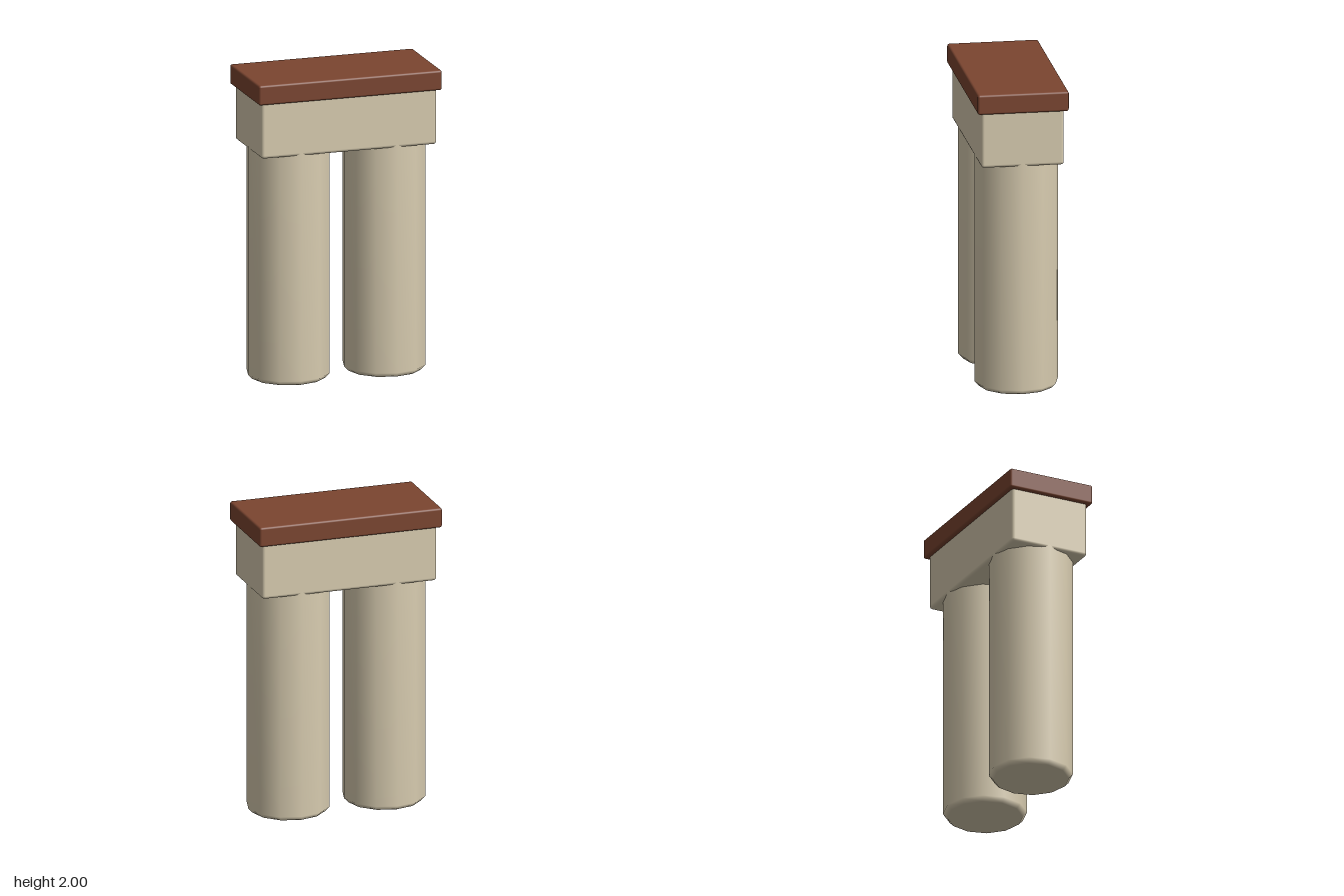
import * as THREE from 'three';
import { RoundedBoxGeometry } from 'three/addons/geometries/RoundedBoxGeometry.js';

export function createModel() {
  const model = new THREE.Group();
  model.name = 'trousers';

  const cloth = new THREE.MeshStandardMaterial({ color: 0xd8ccb0 });
  cloth.name = 'beige cloth';
  const leather = new THREE.MeshStandardMaterial({ color: 0x7b4530 });
  leather.name = 'brown leather';

  const add = (name, geometry, material, x, y) => {
    const mesh = new THREE.Mesh(geometry, material);
    mesh.name = name;
    mesh.position.set(x, y, 0);
    model.add(mesh);
  };

  // Twelve-sided legs with a chamfered hem, reaching just inside the hips
  const profile = [[0, 0], [0.24, 0], [0.268, 0.03], [0.268, 1.53], [0.24, 1.56], [0, 1.56]]
    .map(([r, y]) => new THREE.Vector2(r, y));
  const leg = new THREE.LatheGeometry(profile, 12);
  add('leftLeg', leg, cloth, 0.322, 0);
  add('rightLeg', leg, cloth, -0.322, 0);

  // Hip block with softened edges
  add('hips', new RoundedBoxGeometry(1.174, 0.38, 0.532, 2, 0.02), cloth, 0, 1.70);

  // Belt overhanging the hips
  add('belt', new RoundedBoxGeometry(1.228, 0.13, 0.586, 2, 0.014), leather, 0, 1.935);

  return model;
}
